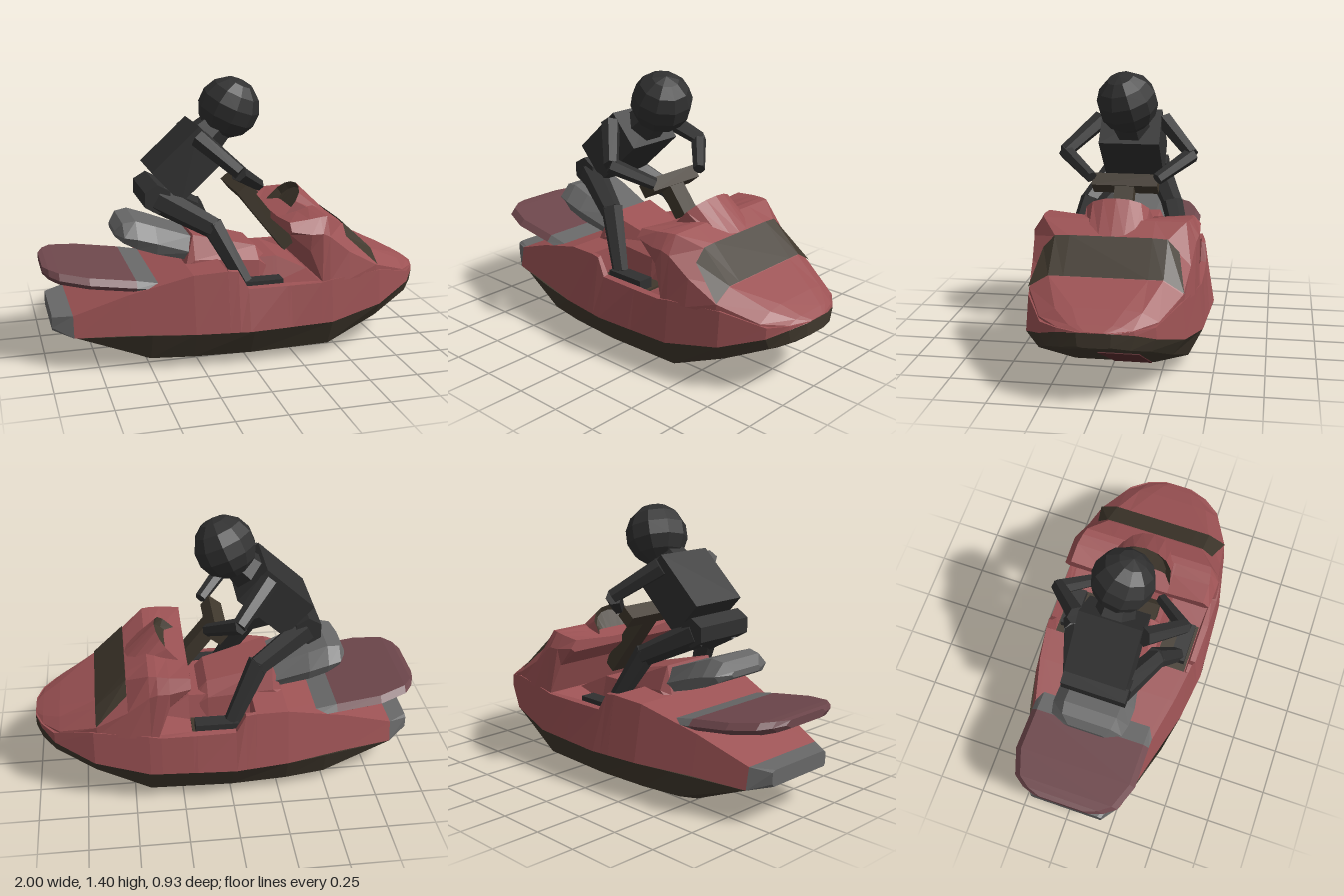
import * as THREE from 'three';

const mat = (color) => new THREE.MeshStandardMaterial({ color, flatShading: true, side: THREE.DoubleSide });
const RED = mat(0x9c5254), DARK = mat(0x40382d), GREY = mat(0x686868);
const BOARD = mat(0x6e474c), SUIT = mat(0x303030), STRIPE = mat(0x5c2d30);

// Skin consecutive rings of [x, y, z] points, running towards +x
function skin(rings, { closed = false, caps = false } = {}) {
  const pos = [];
  const tri = (...p) => p.forEach((v) => pos.push(...v));
  const n = rings[0].length;
  for (let r = 0; r < rings.length - 1; r++) {
    const a = rings[r], b = rings[r + 1];
    for (let i = 0; i < (closed ? n : n - 1); i++) {
      const j = (i + 1) % n;
      tri(a[i], b[i], b[j]);
      tri(a[i], b[j], a[j]);
    }
  }
  if (caps) {
    const s = rings[0], e = rings[rings.length - 1];
    for (let i = 1; i < n - 1; i++) {
      tri(s[0], s[i], s[i + 1]);
      tri(e[0], e[i + 1], e[i]);
    }
  }
  const g = new THREE.BufferGeometry();
  g.setAttribute('position', new THREE.Float32BufferAttribute(pos, 3));
  g.computeVertexNormals();
  return g;
}

// Station [x, z, y, z, y, ...] is one half of a section; mirror it to a full ring
function section([x, ...zy], side = 1) {
  const half = [];
  for (let i = 0; i < zy.length; i += 2) half.push([x, zy[i + 1], side * zy[i]]);
  return [...half, ...half.slice().reverse().map(([px, y, z]) => [px, y, -z])];
}
const shell = (stations, side) => skin(stations.map((s) => section(s, side)));
const solid = (stations) => skin(stations.map((s) => section(s)), { closed: true, caps: true });

export function createModel() {
  const model = new THREE.Group();
  const add = (name, geometry, material, parent = model) => {
    const m = new THREE.Mesh(geometry, material);
    m.name = name;
    parent.add(m);
    return m;
  };
  const limb = (name, a, b, r1, r2, parent) => {
    const p = new THREE.Vector3(...a), q = new THREE.Vector3(...b);
    const m = add(name, new THREE.CylinderGeometry(r2, r1, p.distanceTo(q), 6), SUIT, parent);
    m.position.copy(p).add(q).multiplyScalar(0.5);
    m.quaternion.setFromUnitVectors(new THREE.Vector3(0, 1, 0), q.sub(p).normalize());
    return m;
  };

  // Dark lower hull: belt, chine, bottom edge
  add('lowerHull', shell([
    [-0.87, 0.27, 0.17, 0.25, 0.167, 0.18, 0.165],
    [-0.5, 0.385, 0.19, 0.33, 0.05, 0.2, 0],
    [-0.29, 0.43, 0.19, 0.365, 0.05, 0.2, 0],
    [0, 0.465, 0.19, 0.385, 0.05, 0.2, 0],
    [0.42, 0.44, 0.19, 0.37, 0.05, 0.2, 0],
    [0.7, 0.38, 0.24, 0.32, 0.16, 0.2, 0.137],
    [0.9, 0.27, 0.31, 0.24, 0.25, 0.18, 0.235],
    [0.965, 0.18, 0.345, 0.16, 0.275, 0.12, 0.267],
    [1, 0.08, 0.36, 0.075, 0.295, 0.05, 0.29],
  ], -1), DARK);
  add('noseCap', skin([section([1, 0.05, 0.29, 0.075, 0.295, 0.08, 0.36]),
    section([1, 0.05, 0.29, 0.05, 0.29, 0.05, 0.29])], { closed: true }), DARK);

  // Stripe on one side of the raked bow
  const stripe = add('bowStripe', new THREE.BoxGeometry(0.535, 0.006, 0.19), STRIPE);
  stripe.position.set(0.66, 0.116, -0.095);
  stripe.rotation.z = Math.atan2(0.235, 0.48);

  // Red upper hull with sunken foot wells: belt, shoulder, rim, well, ridge
  const flat = (x, bz, by, sz, sy) =>
    [x, bz, by, sz, sy, sz * 0.93, sy, sz * 0.92, sy, sz * 0.5, sy, sz * 0.42, sy];
  const well = (x, bz, sz, sy) =>
    [x, bz, 0.19, sz, sy, 0.39, sy + 0.005, 0.38, 0.35, 0.2, 0.35, 0.17, 0.48];
  add('upperHull', shell([
    flat(-0.87, 0.27, 0.17, 0.25, 0.28),
    flat(-0.6, 0.345, 0.185, 0.31, 0.385),
    flat(-0.29, 0.43, 0.19, 0.38, 0.48),
    flat(-0.121, 0.452, 0.19, 0.405, 0.495),
    well(-0.12, 0.452, 0.405, 0.495),
    well(-0.07, 0.458, 0.41, 0.49),
    well(-0.02, 0.465, 0.42, 0.4),
    well(0.18, 0.455, 0.425, 0.4),
    well(0.2, 0.453, 0.425, 0.4),
    flat(0.36, 0.444, 0.19, 0.425, 0.4),
    flat(0.42, 0.44, 0.19, 0.42, 0.41),
    flat(0.7, 0.38, 0.24, 0.365, 0.42),
    flat(0.9, 0.27, 0.31, 0.265, 0.365),
    flat(0.965, 0.18, 0.345, 0.175, 0.365),
    flat(1, 0.08, 0.36, 0.075, 0.362),
  ]), RED);
  add('transom', solid([
    [-0.97, 0.19, 0.195, 0.2, 0.21, 0.2, 0.265, 0.18, 0.275],
    [-0.87, 0.26, 0.168, 0.27, 0.17, 0.25, 0.28, 0.23, 0.28],
  ]), GREY);
  for (const s of [1, -1]) {
    add('footMat', new THREE.BoxGeometry(0.31, 0.012, 0.17), DARK).position.set(0.04, 0.355, s * 0.29);
  }

  // Hood with overhanging rear corners: base, side, shoulder, top
  add('hood', solid([
    [0.205, 0.38, 0.65, 0.405, 0.67, 0.37, 0.71, 0.17, 0.69],
    [0.31, 0.39, 0.56, 0.41, 0.65, 0.37, 0.72, 0.17, 0.71],
    [0.37, 0.415, 0.4, 0.41, 0.65, 0.36, 0.725, 0.17, 0.725],
    [0.41, 0.415, 0.4, 0.4, 0.63, 0.35, 0.725, 0.2, 0.725],
    [0.52, 0.405, 0.4, 0.385, 0.54, 0.27, 0.66, 0.2, 0.665],
    [0.68, 0.365, 0.4, 0.365, 0.45, 0.27, 0.51, 0.2, 0.51],
    [0.87, 0.28, 0.36, 0.275, 0.38, 0.2, 0.42, 0.12, 0.43],
    [0.96, 0.17, 0.35, 0.17, 0.365, 0.12, 0.38, 0.08, 0.385],
    [1, 0.06, 0.35, 0.06, 0.36, 0.05, 0.362, 0.04, 0.363],
  ]), RED);
  add('hoodPanel', shell([
    [0.522, 0.33, 0.605, 0.273, 0.666, 0.2, 0.67],
    [0.683, 0.37, 0.455, 0.273, 0.515, 0.2, 0.515],
  ]), DARK);

  // Rounded cowl with a sloping dark rear opening
  const rear = [], front = [];
  for (let i = 0; i <= 8; i++) {
    const a = (i / 8) * Math.PI, c = Math.cos(a), s = Math.sin(a) ** 0.7;
    rear.push([0.25 + 0.11 * s, 0.7 + 0.12 * s, 0.17 * c]);
    front.push([0.36 + 0.16 * s, 0.7 - 0.035 * s, 0.165 * c]);
  }
  add('cowl', skin([rear, front]), RED);
  const inner = rear.map(([x, y, z]) => [x + 0.015, y - 0.03, z * 0.8]);
  const sunk = rear.map(([, , z]) => [0.3, 0.7, z * 0.6]);
  add('cowlOpening', skin([rear, inner, sunk]), DARK);

  // Seat pedestal and seat
  add('seatPedestal', solid([
    [-0.29, 0.2, 0.4, 0.2, 0.46, 0.17, 0.48],
    [-0.24, 0.21, 0.38, 0.2, 0.5, 0.15, 0.62],
    [0.1, 0.2, 0.36, 0.19, 0.47, 0.12, 0.53],
    [0.19, 0.18, 0.35, 0.17, 0.4, 0.12, 0.43],
  ]), RED);
  add('seat', solid([
    [-0.63, 0.09, 0.625, 0.11, 0.64, 0.09, 0.655],
    [-0.595, 0.16, 0.605, 0.19, 0.64, 0.13, 0.7],
    [-0.53, 0.18, 0.575, 0.205, 0.63, 0.14, 0.71],
    [-0.43, 0.18, 0.54, 0.205, 0.6, 0.14, 0.675],
    [-0.24, 0.14, 0.48, 0.17, 0.53, 0.12, 0.605],
  ]), GREY);

  // Rear board, rising backwards
  const plank = ([x, z, t]) => {
    const y = 0.405 - (x + 0.45) * 0.15;
    return [x, z - 0.04, y - t, z, y, z - 0.03, y + t];
  };
  add('rearBoard', solid([[-1, 0.15, 0.02], [-0.975, 0.22, 0.027], [-0.93, 0.28, 0.03],
    [-0.79, 0.33, 0.03], [-0.56, 0.33, 0.03]].map(plank)), BOARD);
  add('rearBoardMount', solid([[-0.56, 0.33, 0.03], [-0.45, 0.33, 0.025]].map(plank)), GREY);

  // Steering column and handlebar
  const steering = new THREE.Group();
  steering.name = 'steering';
  steering.position.set(0.17, 0.67, 0);
  steering.rotation.z = Math.atan2(0.27, 0.34);
  model.add(steering);
  add('column', new THREE.BoxGeometry(0.075, 0.46, 0.1), DARK, steering);
  add('handlebar', new THREE.BoxGeometry(0.085, 0.07, 0.34), DARK, steering).position.y = 0.2;

  // Rider
  const rider = new THREE.Group();
  rider.name = 'rider';
  model.add(rider);
  const torso = add('torso', new THREE.BoxGeometry(0.33, 0.22, 0.32), SUIT, rider);
  torso.position.set(-0.25, 0.985, 0);
  torso.rotation.z = Math.atan2(0.22, 0.24);
  limb('neck', [-0.16, 1.07, 0], [-0.04, 1.18, 0], 0.11, 0.08, rider);
  const head = add('head', new THREE.SphereGeometry(0.16, 10, 7), SUIT, rider);
  head.position.set(-0.01, 1.24, 0);
  head.rotation.set(0.3, 0.2, -0.4);
  limb('pelvis', [-0.42, 0.82, -0.17], [-0.42, 0.82, 0.17], 0.075, 0.075, rider);
  for (const s of [1, -1]) {
    limb('upperArm', [-0.21, 1.12, s * 0.17], [-0.04, 0.97, s * 0.335], 0.05, 0.038, rider);
    limb('forearm', [-0.05, 0.97, s * 0.335], [0.1, 0.865, s * 0.17], 0.042, 0.032, rider);
    limb('thigh', [-0.41, 0.81, s * 0.12], [-0.15, 0.67, s * 0.23], 0.07, 0.055, rider);
    limb('shin', [-0.16, 0.69, s * 0.22], [-0.01, 0.4, s * 0.31], 0.058, 0.042, rider);
    add('foot', new THREE.BoxGeometry(0.22, 0.06, 0.08), SUIT, rider).position.set(0.07, 0.385, s * 0.32);
  }
  return model;
}
